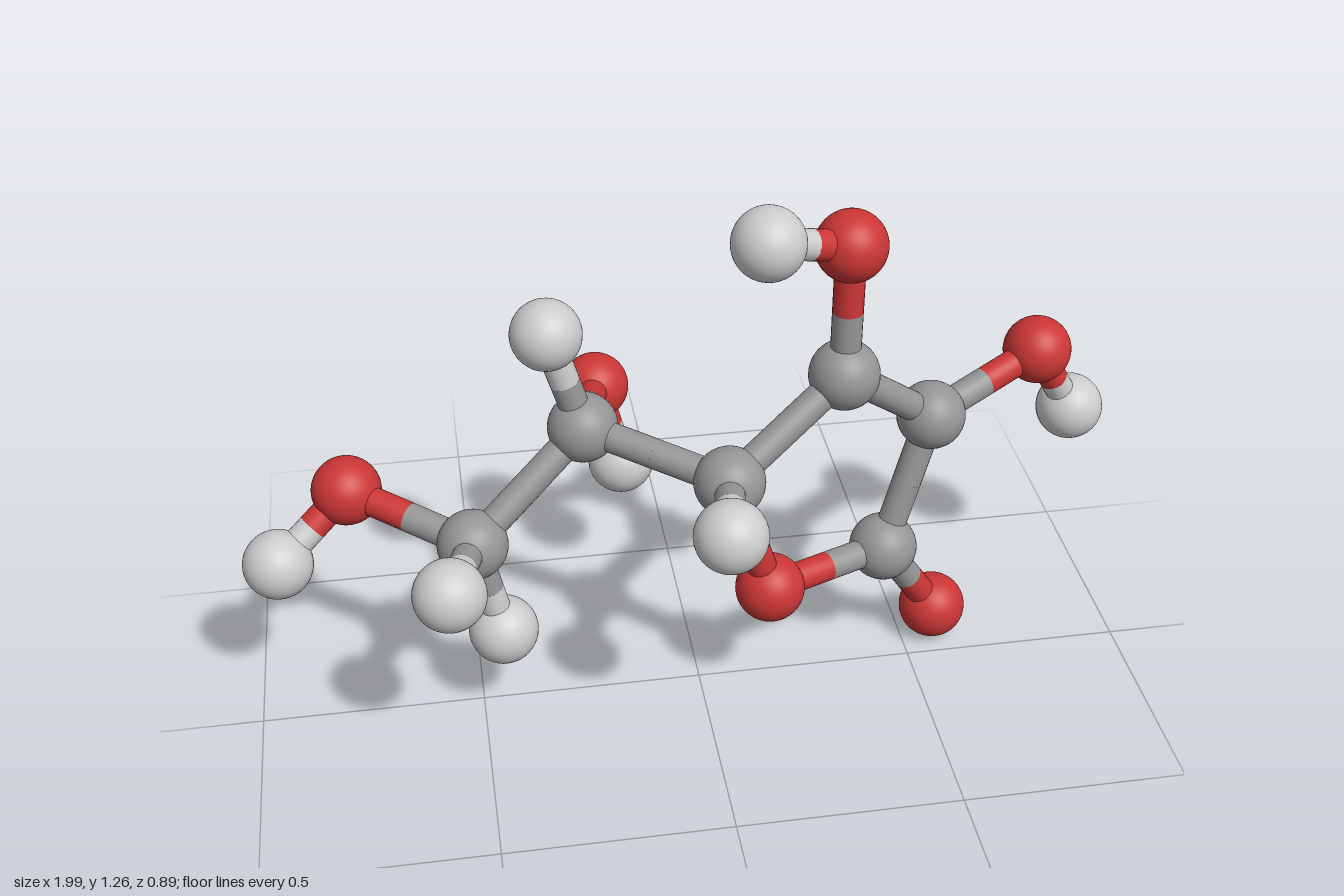
import * as THREE from 'three';

const ATOM_RADIUS = 0.077;
const BOND_RADIUS = 0.033;

export function createModel() {
  const model = new THREE.Group();
  model.name = 'molecule';

  const material = (name, color) => {
    const m = new THREE.MeshStandardMaterial({ color });
    m.name = name;
    return m;
  };
  const elements = {
    C: { name: 'carbon', mat: material('carbon grey', 0x959595) },
    O: { name: 'oxygen', mat: material('oxygen red', 0xcc3636) },
    H: { name: 'hydrogen', mat: material('hydrogen light grey', 0xcccccc) },
  };

  // Atoms: element and centre
  const atoms = {
    // five-sided ring
    ringO: ['O', 0.144, 0.317, 0.095],
    ringC1: ['C', 0.43, 0.308, -0.025],
    ringC2: ['C', 0.535, 0.623, -0.075],
    ringC3: ['C', 0.31, 0.805, 0.015],
    ringC4: ['C', 0.045, 0.633, 0.127],
    // groups on the ring
    carbonylO: ['O', 0.574, 0.078, -0.08],
    sideO: ['O', 0.807, 0.7, -0.187],
    sideH: ['H', 0.916, 0.511, -0.229],
    topO: ['O', 0.312, 1.112, 0.015],
    topH: ['H', 0.122, 1.18, 0.105],
    ringH: ['H', 0.005, 0.674, 0.372],
    // side chain
    chainC1: ['C', -0.243, 0.678, -0.065],
    chainH1: ['H', -0.313, 0.916, -0.062],
    backO: ['O', -0.184, 0.59, -0.368],
    backH: ['H', -0.128, 0.377, -0.368],
    chainC2: ['C', -0.5, 0.477, 0.05],
    chainH2: ['H', -0.559, 0.536, 0.295],
    chainH3: ['H', -0.446, 0.236, 0.048],
    endO: ['O', -0.761, 0.524, -0.13],
    endH: ['H', -0.922, 0.398, -0.053],
  };

  const bonds = [
    ['ringO', 'ringC1'], ['ringC1', 'ringC2'], ['ringC2', 'ringC3'],
    ['ringC3', 'ringC4'], ['ringC4', 'ringO'],
    ['ringC1', 'carbonylO'], ['ringC2', 'sideO'], ['sideO', 'sideH'],
    ['ringC3', 'topO'], ['topO', 'topH'], ['ringC4', 'ringH'],
    ['ringC4', 'chainC1'], ['chainC1', 'chainH1'], ['chainC1', 'backO'],
    ['backO', 'backH'], ['chainC1', 'chainC2'], ['chainC2', 'chainH2'],
    ['chainC2', 'chainH3'], ['chainC2', 'endO'], ['endO', 'endH'],
  ];

  const ball = new THREE.SphereGeometry(ATOM_RADIUS, 40, 28);
  const centre = (key) => new THREE.Vector3(...atoms[key].slice(1));

  for (const key of Object.keys(atoms)) {
    const { name, mat } = elements[atoms[key][0]];
    const atom = new THREE.Mesh(ball, mat);
    atom.name = `${name} atom ${key}`;
    atom.position.copy(centre(key));
    model.add(atom);
  }

  // Half a bond, from an atom to the midpoint, in that atom's colour
  const up = new THREE.Vector3(0, 1, 0);
  const addHalfBond = (from, to) => {
    const start = centre(from);
    const half = centre(to).sub(start).multiplyScalar(0.5);
    const rod = new THREE.Mesh(
      new THREE.CylinderGeometry(BOND_RADIUS, BOND_RADIUS, half.length(), 24, 1, true),
      elements[atoms[from][0]].mat
    );
    rod.name = `bond ${from} to ${to}`;
    rod.position.copy(start).addScaledVector(half, 0.5);
    rod.quaternion.setFromUnitVectors(up, half.clone().normalize());
    model.add(rod);
  };
  for (const [a, b] of bonds) {
    addHalfBond(a, b);
    addHalfBond(b, a);
  }

  return model;
}
